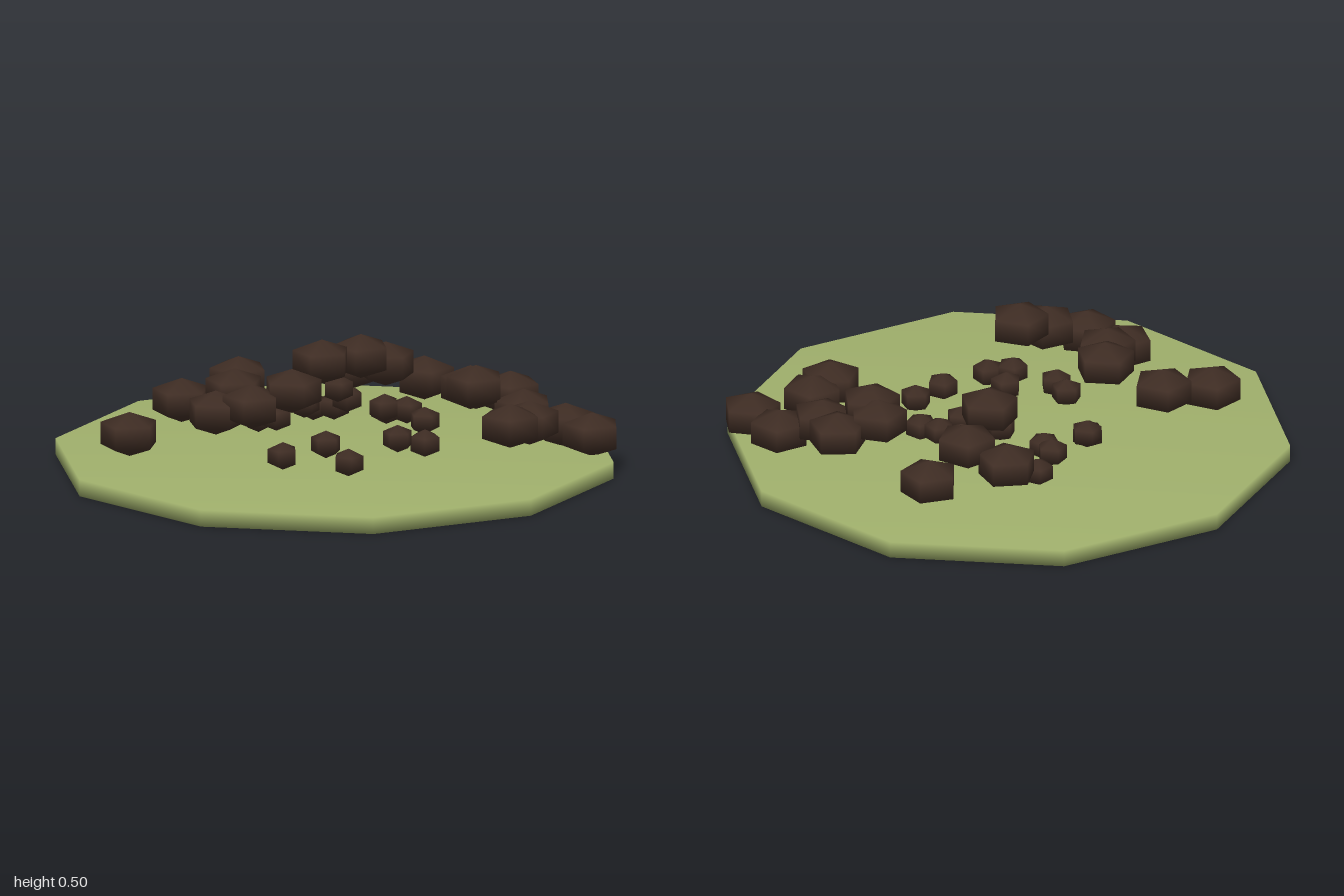
import * as THREE from 'three';
import { mergeVertices } from 'three/addons/utils/BufferGeometryUtils.js';

export function createModel() {
  const model = new THREE.Group();
  model.name = 'rockPatch';
  const grass = new THREE.MeshStandardMaterial({ color: 0xa0b06c });
  grass.name = 'mossGreen';
  const stone = new THREE.MeshStandardMaterial({ color: 0x3f2d24 });
  stone.name = 'darkBrown';

  // Ten-sided ground slab, shared vertices give soft shading over the rim
  let slab = new THREE.CylinderGeometry(1, 1, 0.06, 10);
  slab.deleteAttribute('uv');
  slab.deleteAttribute('normal');
  slab = mergeVertices(slab);
  slab.computeVertexNormals();
  slab.rotateY(Math.PI / 10);
  slab.translate(0, 0.03, 0);
  const ground = new THREE.Mesh(slab, grass);
  ground.name = 'ground';
  model.add(ground);

  // Five-sided rocks with pointed top and bottom
  const rockShape = new THREE.SphereGeometry(1, 5, 3);
  function addRocks(name, list, radius, halfHeight) {
    const group = new THREE.Group();
    group.name = name;
    list.forEach(([x, y, z, angle], i) => {
      const turn = angle ?? (i * 29) % 72;
      const rock = new THREE.Mesh(rockShape, stone);
      rock.name = 'rock';
      rock.position.set(x, y, z);
      rock.rotation.y = THREE.MathUtils.degToRad(36 - turn);
      rock.scale.set(radius, halfHeight, radius);
      group.add(rock);
    });
    model.add(group);
  }

  // x, y, z, corner angle in degrees
  addRocks('backRocks', [
    [-0.23, 0.17, -0.66, 30], [-0.40, 0.21, -0.44, 40], [-0.24, 0.25, -0.48, 8],
    [-0.19, 0.315, -0.31, 54], [0.23, 0.20, -0.64, 46], [0.16, 0.23, -0.51, 64],
    [0.23, 0.25, -0.47, 60], [0.38, 0.175, -0.56, 59], [0.50, 0.13, -0.65, 17],
    [0.665, 0.13, -0.62, 60], [0.535, 0.18, -0.44, 17], [0.55, 0.19, -0.33, 45],
  ], 0.12, 0.08);
  addRocks('frontRocks', [
    [0.065, 0.415, 0.125, 66], [0.085, 0.34, 0.29, 20], [-0.24, 0.32, 0.24, 54],
    [-0.15, 0.31, 0.345, 0], [0.02, 0.295, 0.425, 60], [-0.105, 0.26, 0.48, 15],
    [-0.41, 0.23, 0.355, 0], [-0.41, 0.15, 0.61, 0],
  ], 0.12, 0.08);
  addRocks('smallRocks', [
    [-0.37, 0.11, -0.25], [-0.295, 0.12, -0.28], [-0.355, 0.15, -0.16],
    [-0.30, 0.15, -0.14], [-0.14, 0.19, -0.195], [-0.035, 0.15, -0.285],
    [0.04, 0.16, -0.315], [0.02, 0.18, -0.225], [0.14, 0.14, -0.305],
    [0.335, 0.125, -0.12], [0.295, 0.15, -0.025], [-0.035, 0.27, -0.05],
    [-0.355, 0.16, 0.02], [-0.32, 0.13, 0.065], [-0.115, 0.19, 0.175],
    [0.195, 0.155, 0.23], [0.31, 0.11, 0.23], [0.08, 0.11, 0.33],
  ], 0.062, 0.05);

  return model;
}
